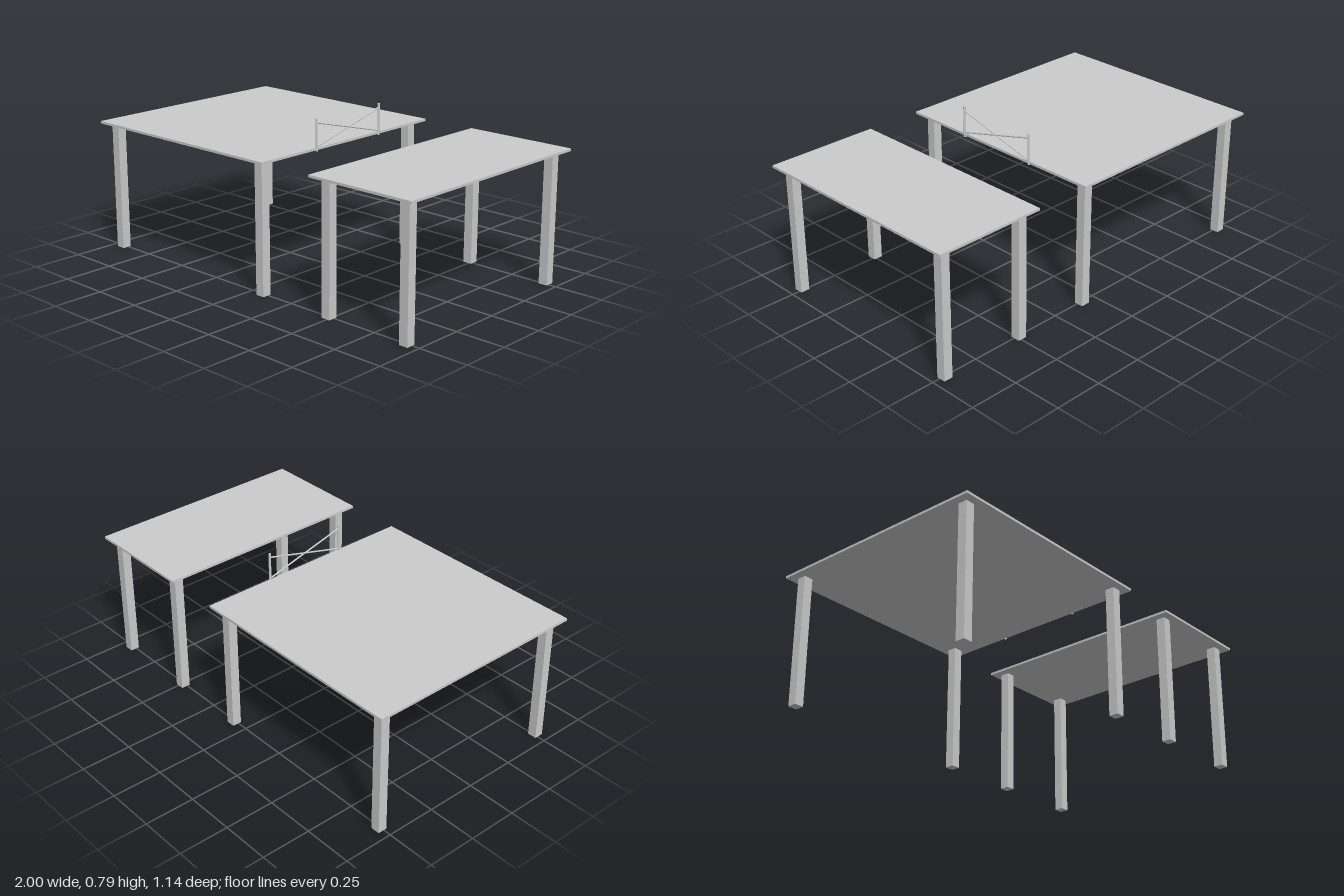
import * as THREE from 'three';

const material = new THREE.MeshStandardMaterial({ color: 0xcccccc });

const TOP = 0.655, THICK = 0.012, DEPTH = 1.142, LEG = 0.046, INSET = 0.063;

function addMesh(parent, name, geometry, x, y, z) {
  const mesh = new THREE.Mesh(geometry, material);
  mesh.name = name;
  mesh.position.set(x, y, z);
  parent.add(mesh);
  return mesh;
}

// Flat deck on four square legs, spanning x0..x1
function platform(name, x0, x1) {
  const group = new THREE.Group();
  group.name = name;
  addMesh(group, 'deck', new THREE.BoxGeometry(x1 - x0, THICK, DEPTH), (x0 + x1) / 2, TOP - THICK / 2, 0);
  const legHeight = TOP - THICK;
  for (const x of [x0 + INSET, x1 - INSET]) {
    for (const side of [-1, 1]) {
      addMesh(group, 'leg', new THREE.BoxGeometry(LEG, legHeight, LEG), x, legHeight / 2, side * (DEPTH / 2 - INSET));
    }
  }
  return group;
}

// Two posts joined by a pair of crossing braces
function railing(x) {
  const group = new THREE.Group();
  group.name = 'railing';
  const z = 0.215, bottom = 0.638, top = 0.793;
  const braceLow = 0.66, braceHigh = 0.773;
  for (const side of [-1, 1]) {
    addMesh(group, 'post', new THREE.CylinderGeometry(0.006, 0.006, top - bottom, 16), x, (top + bottom) / 2, side * z);
    const rise = braceHigh - braceLow;
    const brace = addMesh(group, 'crossBrace',
      new THREE.CylinderGeometry(0.004, 0.004, Math.hypot(2 * z, rise), 12), x, (braceLow + braceHigh) / 2, 0);
    brace.rotation.x = side * Math.atan2(2 * z, rise);
  }
  return group;
}

export function createModel() {
  const model = new THREE.Group();
  model.name = 'platforms';
  model.add(platform('largePlatform', -1, 0.142));
  model.add(platform('smallPlatform', 0.429, 1));
  model.add(railing(0.141));
  return model;
}
